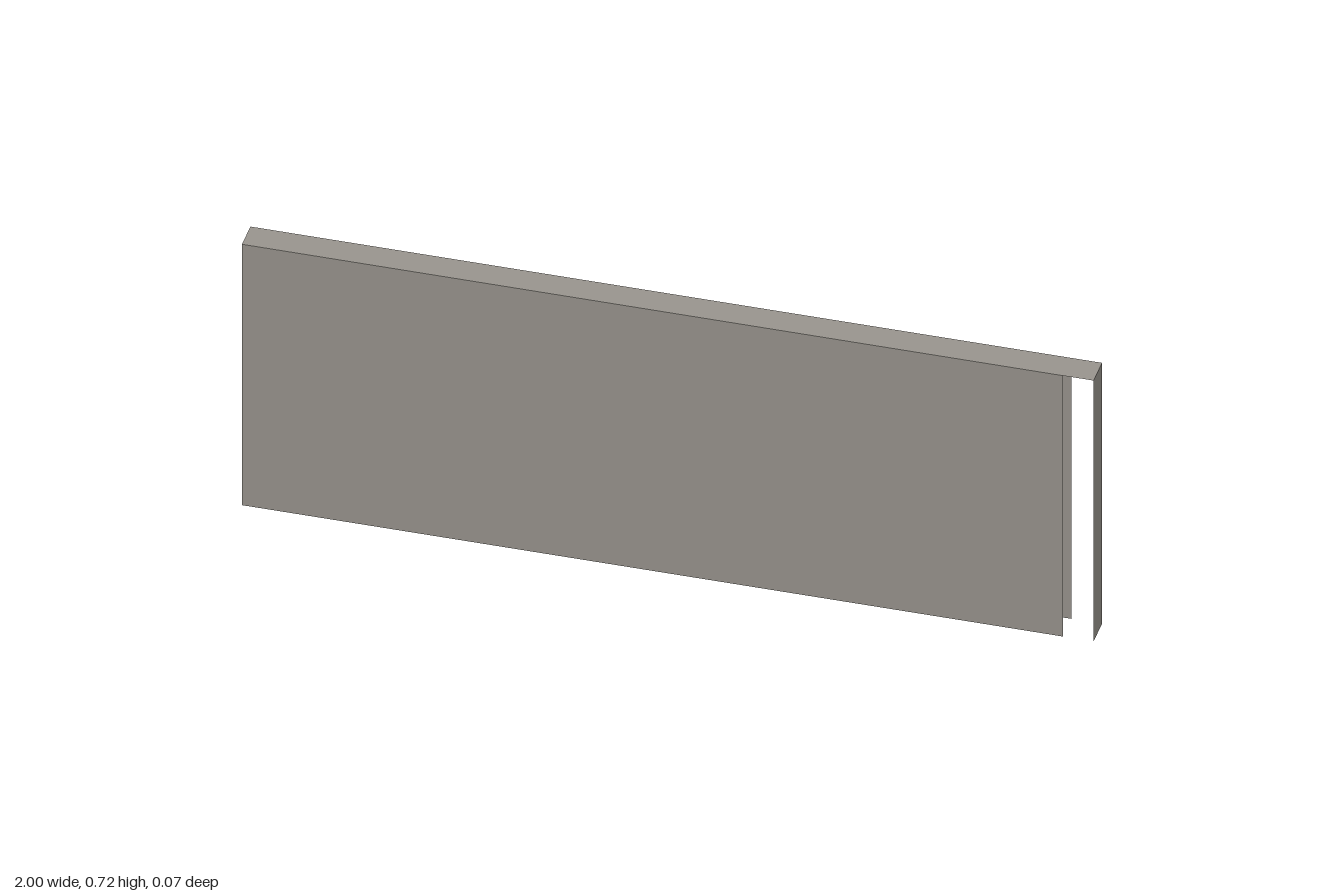
import * as THREE from 'three';

const HEIGHT = 0.723; // wall height
const HALF = 0.036; // half the wall thickness
const GAP = 0.072; // openings are one wall thickness wide

export function createModel() {
  const group = new THREE.Group();
  group.name = 'hollowWall';
  const plaster = new THREE.MeshStandardMaterial({ color: 0x98948d, side: THREE.DoubleSide });
  plaster.name = 'warm grey plaster';

  // One thin sheet, turned to face outward
  function sheet(name, width, height, position, rotation) {
    const mesh = new THREE.Mesh(new THREE.PlaneGeometry(width, height), plaster);
    mesh.name = name;
    mesh.position.set(...position);
    mesh.rotation.set(...rotation);
    group.add(mesh);
  }

  // Upright panel spanning x0 to x1 on the front or back
  function panel(name, x0, x1, side) {
    sheet(name, x1 - x0, HEIGHT, [(x0 + x1) / 2, HEIGHT / 2, side * HALF], [0, side > 0 ? 0 : Math.PI, 0]);
  }

  // Front face stops short of the left end
  panel('frontPanel', -1, 1 - GAP, 1);

  // Back face is split by a joint and stops short of the left end
  panel('backPanelRight', -1, -0.24, -1);
  panel('backPanelLeft', -0.24 + GAP, 1 - GAP, -1);

  // End faces
  for (const [name, side] of [['leftEnd', 1], ['rightEnd', -1]]) {
    sheet(name, HALF * 2, HEIGHT, [side, HEIGHT / 2, 0], [0, side * Math.PI / 2, 0]);
  }

  // Top cap; the bottom stays open
  sheet('topCap', 2, HALF * 2, [0, HEIGHT, 0], [-Math.PI / 2, 0, 0]);

  return group;
}
